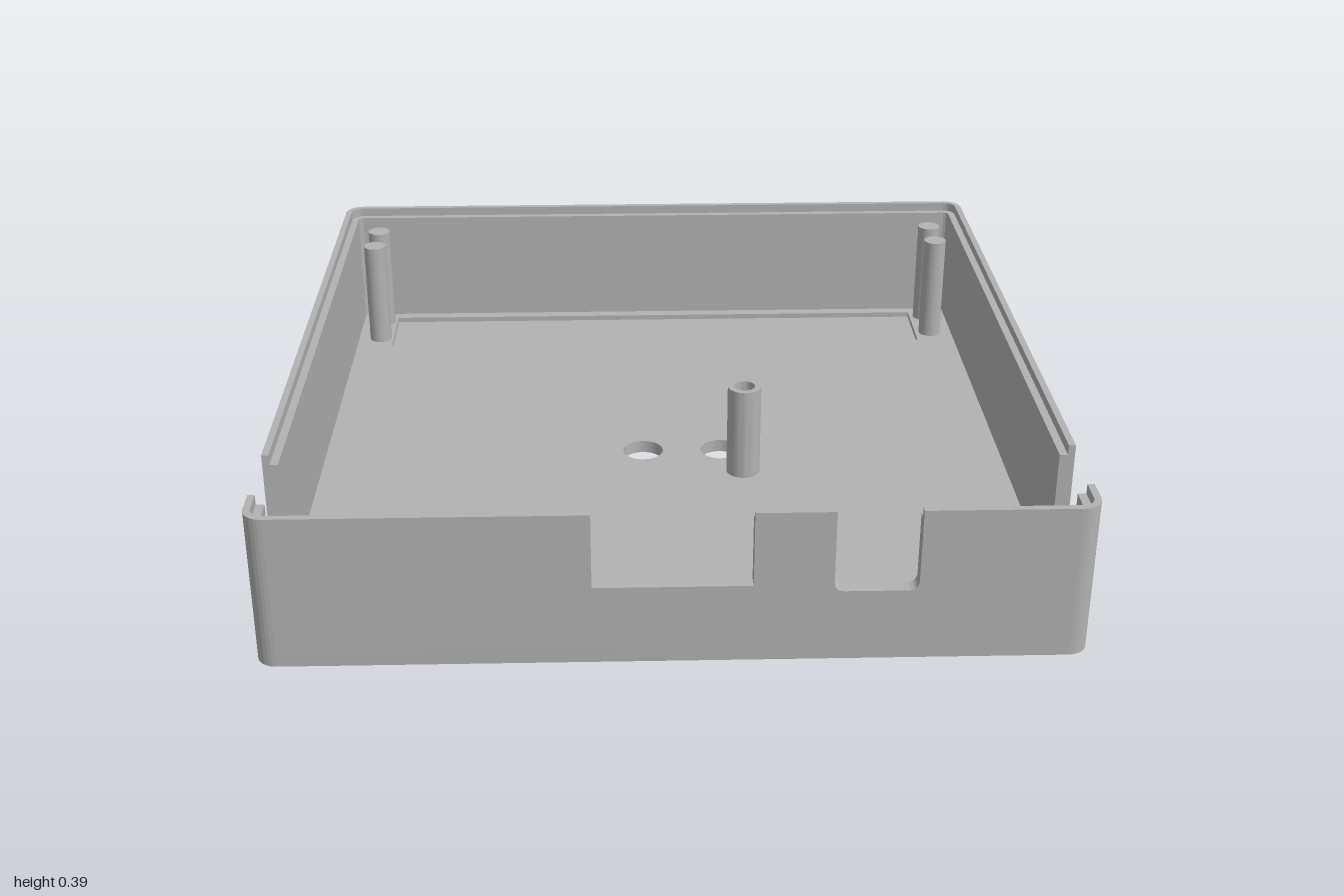
import * as THREE from 'three';
import { toCreasedNormals } from 'three/addons/utils/BufferGeometryUtils.js';

const HX = 0.97, HZ = 1, R = 0.05;          // half width, half depth, corner radius
const FLOOR = 0.035, RECESS = 0.02;         // floor top, recess top
const LAYERS = [                            // wall layers: outer lip and lower inner ledge
  { name: 'outerLip', from: 0, to: 0.017, top: 0.39 },
  { name: 'innerLedge', from: 0.017, to: 0.037, top: 0.365 },
];

export function createModel() {
  const model = new THREE.Group();
  model.name = 'enclosureBase';
  const grey = new THREE.MeshStandardMaterial({ color: 0xb2b2b2 });
  grey.name = 'grey plastic';

  const extrude = (shape, depth) => toCreasedNormals(
    new THREE.ExtrudeGeometry(shape, { depth, bevelEnabled: false, curveSegments: 20 }), 0.6);
  const add = (geometry, name, parent = model) => {
    const mesh = new THREE.Mesh(geometry, grey);
    mesh.name = name;
    parent.add(mesh);
    return mesh;
  };
  // Extrudes a plan shape (x, -z) upwards from y0 to y1
  const slab = (shape, y0, y1, name, parent) =>
    add(extrude(shape, y1 - y0).rotateX(-Math.PI / 2).translate(0, y0, 0), name, parent);
  const circle = (x, z, r) => new THREE.Path().absarc(x, -z, r, 0, Math.PI * 2, true);

  const roundedPlan = () => {
    const s = new THREE.Shape(), a = HX - R, b = HZ - R;
    s.absarc(a, b, R, 0, Math.PI / 2);
    s.absarc(-a, b, R, Math.PI / 2, Math.PI);
    s.absarc(-a, -b, R, Math.PI, Math.PI * 1.5);
    s.absarc(a, -b, R, Math.PI * 1.5, Math.PI * 2);
    s.closePath();
    return s;
  };

  // Floor in two layers: holes through both, long recess in the upper one
  const screw = { x: 0.215, z: 0.135 };
  [[0, RECESS, 0.042, 'floorBottom'], [RECESS, FLOOR, 0.028, 'floorTop']].forEach(([y0, y1, r, name], i) => {
    const s = roundedPlan();
    s.holes.push(circle(-0.055, 0.01, 0.055), circle(0.16, 0.01, 0.055), circle(screw.x, screw.z, r));
    if (i) s.holes.push(new THREE.Path([
      [-0.825, 0.93], [0.82, 0.93], [0.82, 0.715], [-0.825, 0.715],
    ].map(([x, y]) => new THREE.Vector2(x, y))));
    slab(s, y0, y1, name);
  });

  // Wall outline with notches [start, end, bottom, corner radius] cut from the top edge
  const wallShape = (half, top, notches) => {
    const s = new THREE.Shape();
    s.moveTo(half, top);
    s.lineTo(half, FLOOR);
    s.lineTo(-half, FLOOR);
    s.lineTo(-half, top);
    for (const [a, b, y, r] of notches) {
      s.lineTo(a, top);
      s.lineTo(a, y + r);
      if (r) s.quadraticCurveTo(a, y, a + r, y);
      else s.lineTo(a, y);
      s.lineTo(b - r, y);
      if (r) s.quadraticCurveTo(b, y, b, y + r);
      s.lineTo(b, top);
    }
    s.closePath();
    return s;
  };

  const walls = [
    { name: 'frontWall', half: HX - R, dist: HZ, turn: 0, notches: [[-0.19, 0.18, 0.2, 0], [0.365, 0.56, 0.182, 0.025]] },
    { name: 'backWall', half: HX - R, dist: HZ, turn: Math.PI, notches: [] },
    { name: 'leftWall', half: HZ - R, dist: HX, turn: Math.PI / 2, notches: [[-0.885, -0.693, 0.185, 0.018]] },
    { name: 'rightWall', half: HZ - R, dist: HX, turn: -Math.PI / 2, notches: [[0.693, 0.885, 0.185, 0.018]] },
  ];
  for (const w of walls) {
    const group = new THREE.Group();
    group.name = w.name;
    group.rotation.y = w.turn;
    model.add(group);
    for (const l of LAYERS) {
      const panel = add(extrude(wallShape(w.half, l.top, w.notches), l.to - l.from), l.name, group);
      panel.position.z = w.dist - l.to;
    }
  }

  // Rounded corners joining the walls
  for (let i = 0; i < 4; i++) {
    const group = new THREE.Group();
    group.name = 'corner' + (i + 1);
    group.position.set((i === 0 || i === 3 ? 1 : -1) * (HX - R), 0, (i < 2 ? -1 : 1) * (HZ - R));
    group.rotation.y = i * Math.PI / 2;
    model.add(group);
    for (const l of LAYERS) {
      const s = new THREE.Shape();
      s.absarc(0, 0, R - l.from, 0, Math.PI / 2, false);
      s.absarc(0, 0, R - l.to, Math.PI / 2, 0, true);
      s.closePath();
      slab(s, FLOOR, l.top, l.name, group);
    }
  }

  // Hollow screw post
  const tube = new THREE.Shape().absarc(screw.x, -screw.z, 0.045, 0, Math.PI * 2, false);
  tube.holes.push(circle(screw.x, screw.z, 0.028));
  slab(tube, FLOOR, 0.29, 'screwPost');

  // Solid pins beside the recess
  for (const x of [-0.865, 0.865]) {
    for (const z of [-0.9, -0.775]) {
      const pin = add(new THREE.CylinderGeometry(0.033, 0.033, 0.345 - RECESS, 32), 'supportPin');
      pin.position.set(x, (0.345 + RECESS) / 2, z);
    }
  }
  return model;
}
